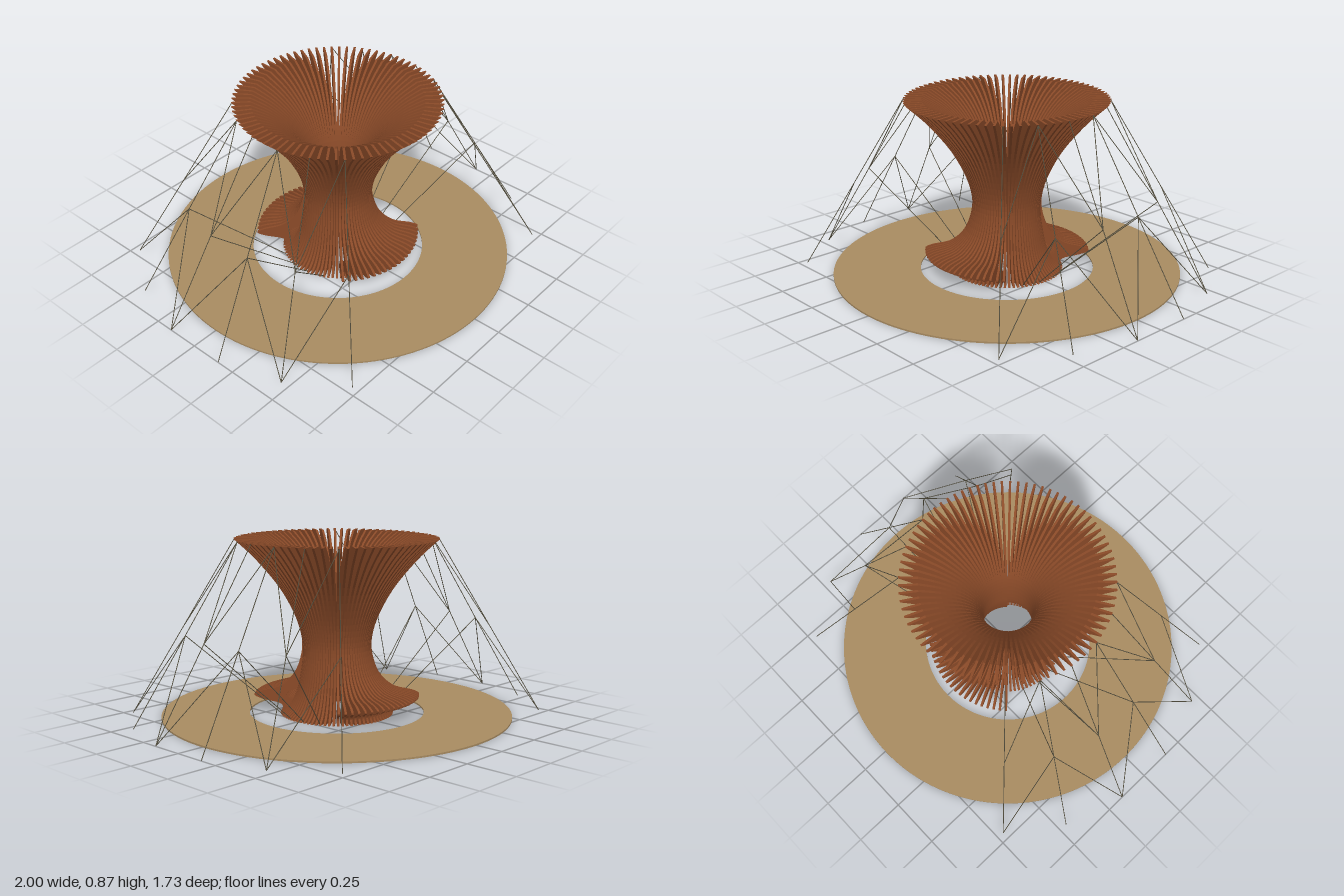
import * as THREE from 'three';

const V2 = (p) => new THREE.Vector2(p[0], p[1]);
const curve = (pts, n) => new THREE.SplineCurve(pts.map(V2)).getPoints(n);

// Upper trumpet edges, listed from the top down as [radius, height]
const outerTop = [[0.5, 0.87], [0.4, 0.775], [0.285, 0.635], [0.21, 0.5], [0.175, 0.39]];
const innerTop = [[0.41, 0.87], [0.31, 0.81], [0.22, 0.72], [0.155, 0.6], [0.125, 0.47]];

// Lower edges: a plain flare, or a bulge that forms the bench
const lower = {
  flare: {
    outer: [[0.168, 0.3], [0.18, 0.2], [0.2, 0.11], [0.235, 0.04], [0.28, 0]],
    inner: [[0.12, 0.3], [0.13, 0.2], [0.15, 0.11], [0.175, 0.04], [0.2, 0]],
  },
  bench: {
    outer: [[0.175, 0.3], [0.21, 0.2], [0.28, 0.135], [0.37, 0.112], [0.41, 0.092],
      [0.37, 0.07], [0.29, 0.05], [0.268, 0.03], [0.28, 0]],
    inner: [[0.12, 0.3], [0.14, 0.2], [0.19, 0.13], [0.25, 0.095], [0.22, 0.06],
      [0.2, 0.03], [0.2, 0]],
  },
};

const finWidth = 0.011;
function finGeometry({ outer, inner }) {
  const edge = [
    ...curve([...outerTop, ...outer], 44),
    ...curve([...innerTop, ...inner], 44).reverse(),
  ];
  const geo = new THREE.ExtrudeGeometry(new THREE.Shape(edge), { depth: finWidth, bevelEnabled: false });
  return geo.translate(0, 0, -finWidth / 2);
}

export function createModel() {
  const model = new THREE.Group();
  model.name = 'pavilion';
  const wood = new THREE.MeshStandardMaterial({ name: 'brown wood', color: 0x8a4a28 });
  const sand = new THREE.MeshStandardMaterial({ name: 'tan floor', color: 0xa88b61 });
  const wire = new THREE.MeshStandardMaterial({ name: 'dark cable', color: 0x55503f });

  // Flat ring floor
  const ring = new THREE.Shape().absarc(0, 0, 0.865, 0, Math.PI * 2);
  ring.holes.push(new THREE.Path().absarc(0, 0, 0.433, 0, Math.PI * 2, true));
  const floorGeo = new THREE.ExtrudeGeometry(ring, { depth: 0.008, bevelEnabled: false, curveSegments: 64 });
  const floor = new THREE.Mesh(floorGeo.rotateX(-Math.PI / 2), sand);
  floor.name = 'floorRing';
  model.add(floor);

  // Radial fins, with benches facing front and back
  const fins = new THREE.Group();
  fins.name = 'fins';
  const flareGeo = finGeometry(lower.flare);
  const benchGeo = finGeometry(lower.bench);
  const count = 80;
  for (let i = 0; i < count; i++) {
    const a = (i / count) * Math.PI * 2;
    const isBench = Math.abs(Math.sin(a)) > 0.7;
    const fin = new THREE.Mesh(isBench ? benchGeo : flareGeo, wood);
    fin.name = isBench ? 'benchFin' : 'plainFin';
    fin.rotation.y = a;
    fins.add(fin);
  }
  model.add(fins);

  // Cable trusses on both sides, the second turned half way round
  const up = new THREE.Vector3(0, 1, 0);
  function cable(a, b, parent) {
    const d = b.clone().sub(a);
    const mesh = new THREE.Mesh(new THREE.CylinderGeometry(0.002, 0.002, d.length(), 5), wire);
    mesh.name = 'cable';
    mesh.position.copy(a).add(b).multiplyScalar(0.5);
    mesh.quaternion.setFromUnitVectors(up, d.normalize());
    parent.add(mesh);
  }
  const node = (r, y, i) => {
    const a = ((45 - 18 * i) * Math.PI) / 180;
    return new THREE.Vector3(r * Math.cos(a), y, r * Math.sin(a));
  };
  const ground = (i) => node(1.012, 0.002, i);
  const middle = (i) => node(0.755, 0.433, i);
  const top = (i) => node(0.497, 0.867, i);

  for (const side of ['left', 'right']) {
    const truss = new THREE.Group();
    truss.name = side + 'CableTruss';
    for (let i = 0; i < 6; i++) {
      cable(ground(i), middle(i), truss);
      cable(middle(i), top(i), truss);
      // Zigzag diagonals between neighbouring lines
      for (const j of [i - 1, i + 1]) {
        if (j < 0 || j > 5) continue;
        if (i % 2 === 0) {
          cable(ground(i), middle(j), truss);
          cable(middle(i), top(j), truss);
        }
      }
      // Ties back to the foot of the fins
      if (i > 0 && i < 5) cable(middle(i), node(0.28, 0.01, i), truss);
    }
    if (side === 'right') truss.rotation.y = Math.PI;
    model.add(truss);
  }
  return model;
}
